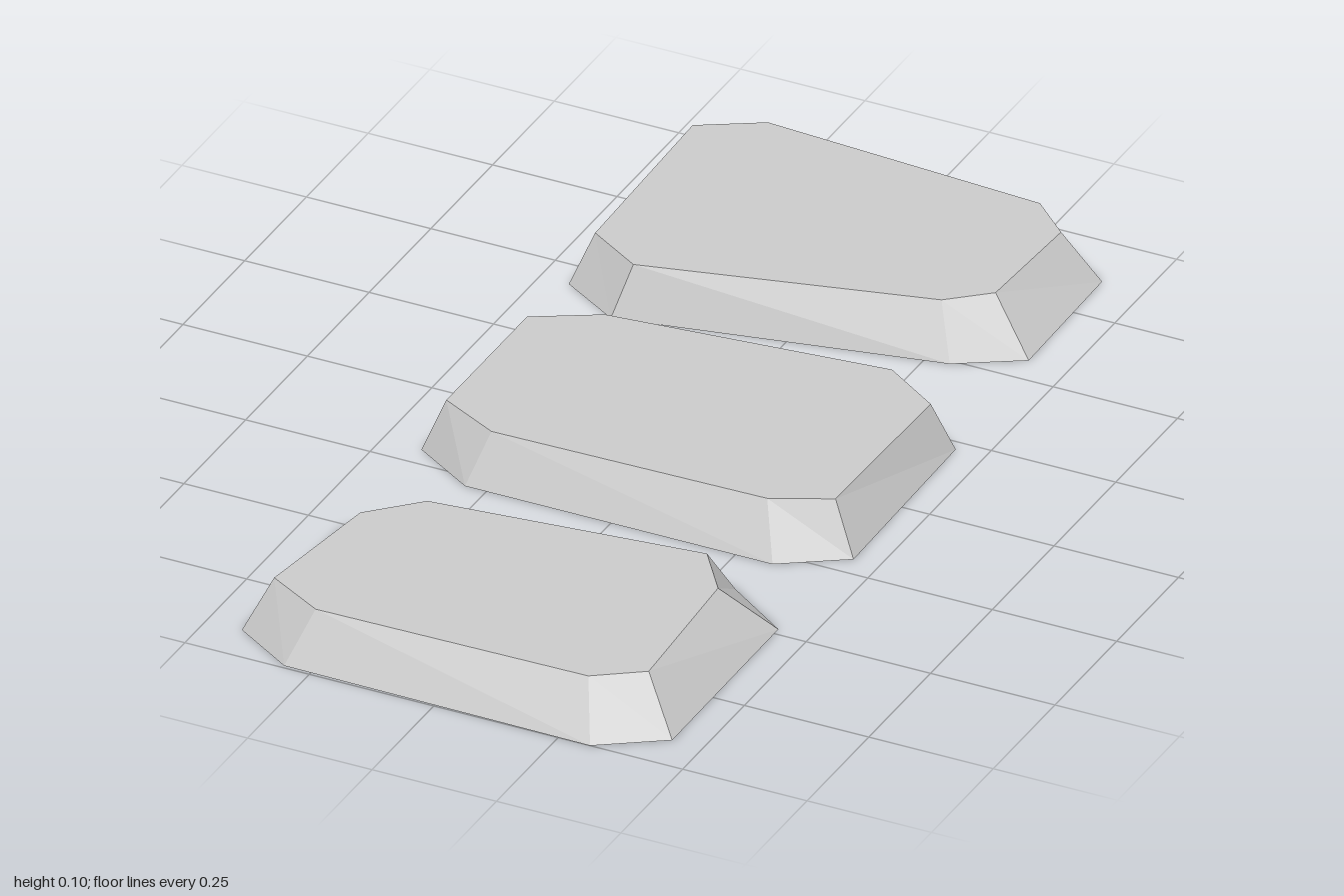
import * as THREE from 'three';

const HEIGHT = 0.1;

// Eight-cornered outlines as [x, z], from back left round by the +x end:
// foot lies on the ground, top is the smaller upper face.
const SLABS = [
  {
    name: 'backStone',
    foot: [[-0.33, -1], [0.288, -0.96], [0.415, -0.87], [0.42, -0.563], [0.298, -0.489], [-0.32, -0.362], [-0.441, -0.436], [-0.454, -0.917]],
    top: [[-0.298, -0.954], [0.267, -0.917], [0.346, -0.843], [0.335, -0.6], [0.259, -0.534], [-0.293, -0.399], [-0.404, -0.468], [-0.415, -0.885]],
  },
  {
    name: 'middleStone',
    foot: [[-0.293, -0.262], [0.314, -0.32], [0.441, -0.225], [0.448, 0.203], [0.325, 0.283], [-0.293, 0.283], [-0.42, 0.203], [-0.42, -0.188]],
    top: [[-0.261, -0.219], [0.288, -0.275], [0.404, -0.198], [0.399, 0.177], [0.288, 0.23], [-0.261, 0.24], [-0.383, 0.177], [-0.383, -0.15]],
  },
  {
    name: 'frontStone',
    foot: [[-0.298, 0.425], [0.304, 0.391], [0.436, 0.483], [0.438, 0.917], [0.314, 1], [-0.304, 0.993], [-0.428, 0.914], [-0.428, 0.512]],
    top: [[-0.256, 0.51], [0.277, 0.452], [0.349, 0.552], [0.367, 0.869], [0.277, 0.932], [-0.267, 0.94], [-0.383, 0.874], [-0.346, 0.6]],
  },
];

// Sloping sides and a flat top, open underneath
function slabGeometry(foot, top) {
  const positions = [];
  const low = ([x, z]) => [x, 0, z];
  const high = ([x, z]) => [x, HEIGHT, z];
  const n = foot.length;
  for (let i = 0; i < n; i++) {
    const j = (i + 1) % n;
    positions.push(...low(foot[i]), ...high(top[i]), ...high(top[j]));
    positions.push(...low(foot[i]), ...high(top[j]), ...low(foot[j]));
    if (i > 0 && i < n - 1) positions.push(...high(top[0]), ...high(top[j]), ...high(top[i]));
  }
  const geometry = new THREE.BufferGeometry();
  geometry.setAttribute('position', new THREE.Float32BufferAttribute(positions, 3));
  geometry.computeVertexNormals();
  return geometry;
}

export function createModel() {
  const model = new THREE.Group();
  model.name = 'steppingStones';
  const stone = new THREE.MeshStandardMaterial({ color: 0xcccccc, flatShading: true, side: THREE.DoubleSide });
  for (const { name, foot, top } of SLABS) {
    const mesh = new THREE.Mesh(slabGeometry(foot, top), stone);
    mesh.name = name;
    model.add(mesh);
  }
  return model;
}
